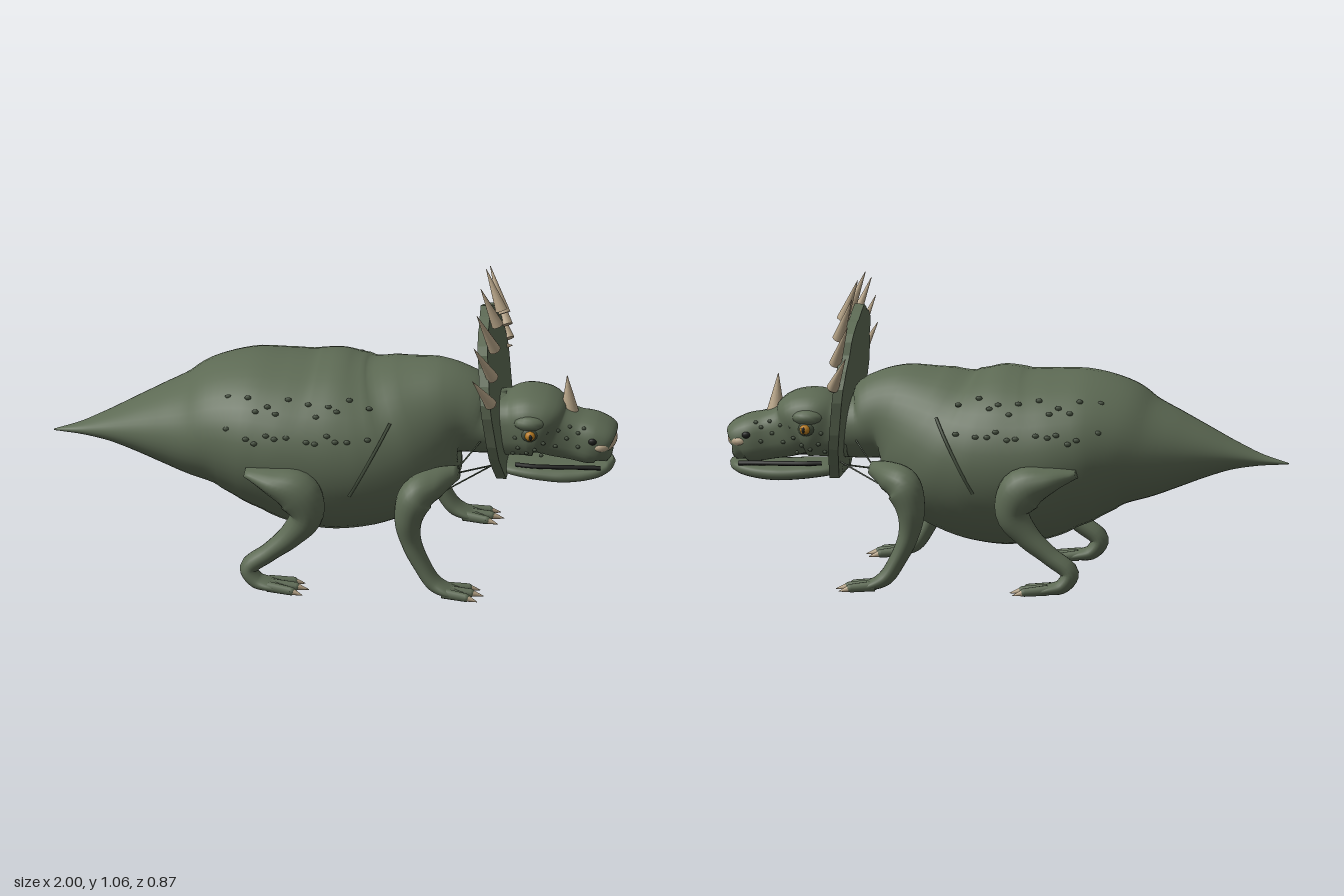
import * as THREE from 'three';

const material = (name, color) => Object.assign(new THREE.MeshStandardMaterial({ color }), { name });

export function createModel() {
  const root = new THREE.Group();
  root.name = 'hornedReptile';
  const skin = material('mossSkin', 0x5d6a54);
  const scale = material('darkScale', 0x434e3d);
  const horn = material('hornTan', 0xb9a689);
  const amber = material('amberEye', 0xb67a20);
  const dark = material('nearBlack', 0x1b1d1a);
  const V = (x, y, z) => new THREE.Vector3(x, y, z);

  const add = (name, geometry, mat, parent = root) => {
    const mesh = new THREE.Mesh(geometry, mat);
    mesh.name = name;
    parent.add(mesh);
    return mesh;
  };

  // Smooth skin over stations [x, y, z, radius in side plane, radius in z]
  function loft(stations, steps, sides, power = 1) {
    const path = new THREE.CatmullRomCurve3(stations.map(s => V(s[0], s[1], s[2])));
    const radii = new THREE.CatmullRomCurve3(stations.map(s => V(s[3], s[4], 0)));
    const pos = [], idx = [];
    const bend = v => Math.sign(v) * Math.abs(v) ** power;
    for (let i = 0; i <= steps; i++) {
      const p = path.getPoint(i / steps), r = radii.getPoint(i / steps), t = path.getTangent(i / steps);
      const l = Math.hypot(t.x, t.y) || 1;
      const rx = Math.max(r.x, 0.0005), rz = Math.max(r.y, 0.0005);
      for (let j = 0; j < sides; j++) {
        const a = j / sides * Math.PI * 2, c = bend(Math.cos(a)) * rx;
        pos.push(p.x - t.y / l * c, p.y + t.x / l * c, p.z + bend(Math.sin(a)) * rz);
        if (i < steps) {
          const k = (j + 1) % sides, A = i * sides + j, B = i * sides + k;
          idx.push(A, B, A + sides, B, B + sides, A + sides);
        }
      }
    }
    // End caps
    for (const [ring, flip] of [[0, false], [steps, true]]) {
      const o = ring * sides;
      for (let j = 1; j < sides - 1; j++) idx.push(o, o + (flip ? j : j + 1), o + (flip ? j + 1 : j));
    }
    const g = new THREE.BufferGeometry();
    g.setAttribute('position', new THREE.Float32BufferAttribute(pos, 3));
    g.setIndex(idx);
    g.computeVertexNormals();
    return g;
  }
  // Profiles are [x, top, bottom, half width]
  const toStations = rows => rows.map(([x, t, b, w]) => [x, (t + b) / 2, 0, (t - b) / 2, w]);
  // Half width of a profile's skin at a given x, y
  function sideZ(rows, x, y, power = 1) {
    let i = 0;
    while (i < rows.length - 2 && rows[i + 1][0] < x) i++;
    const f = (x - rows[i][0]) / (rows[i + 1][0] - rows[i][0]);
    const [t, b, w] = [1, 2, 3].map(k => rows[i][k] + (rows[i + 1][k] - rows[i][k]) * f);
    const u = Math.min(1, Math.abs((y - (t + b) / 2) / ((t - b) / 2)));
    return w * (1 - u ** (2 / power)) ** (power / 2);
  }
  const spike = (name, a, b, r, mat, parent = root, tip = 0.001, sides = 12) => {
    const d = b.clone().sub(a);
    const m = add(name, new THREE.CylinderGeometry(tip, r, d.length(), sides), mat, parent);
    m.position.copy(a).addScaledVector(d, 0.5);
    m.quaternion.setFromUnitVectors(V(0, 1, 0), d.normalize());
    return m;
  };
  const blob = (name, p, rx, ry, rz, mat, parent = root, seg = 16) => {
    const m = add(name, new THREE.SphereGeometry(1, seg, Math.max(6, seg / 2)), mat, parent);
    m.position.copy(p);
    m.scale.set(rx, ry, rz);
    return m;
  };
  const tube = (name, pts, r, mat) =>
    add(name, new THREE.TubeGeometry(new THREE.CatmullRomCurve3(pts), 20, r, 6), mat);

  // Body, tail and neck
  const body = [
    [-1, .433, .428, .002], [-.9, .463, .422, .038], [-.8, .508, .405, .085], [-.7, .56, .372, .135],
    [-.6, .612, .333, .185], [-.5, .662, .295, .235], [-.4, .722, .257, .282], [-.3, .753, .222, .322],
    [-.2, .755, .186, .342], [-.1, .757, .142, .348], [0, .76, .123, .347], [.1, .755, .137, .338],
    [.2, .758, .182, .312], [.3, .766, .262, .262], [.4, .758, .345, .19], [.46, .72, .39, .152],
    [.52, .655, .415, .135], [.6, .64, .42, .125]];
  add('body', loft(toStations(body), 80, 40), skin);

  // Head and lower jaw
  const head = [
    [.56, .635, .42, .12], [.63, .64, .42, .13], [.69, .66, .42, .148], [.735, .652, .42, .143],
    [.785, .605, .415, .105], [.85, .578, .405, .097], [.91, .565, .395, .107], [.95, .545, .393, .102],
    [.975, .51, .4, .08], [.985, .46, .45, .01]];
  add('head', loft(toStations(head), 48, 32, 0.75), skin);
  const jaw = [
    [.58, .4, .37, .09], [.64, .405, .355, .118], [.72, .403, .343, .13], [.8, .398, .336, .13],
    [.88, .398, .34, .118], [.94, .403, .352, .098], [.975, .408, .37, .068], [.99, .405, .39, .01]];
  add('lowerJaw', loft(toStations(jaw), 36, 28, 0.75), skin);
  blob('beak', V(.945, .478, 0), .055, .037, .11, horn, root, 28);
  spike('noseHorn', V(.832, .565, 0), V(.822, .71, 0), .034, horn, root, .001, 20);

  // Frill: a thin leaning shield
  const edge = [[0, .965], [.06, .945], [.1, .926], [.135, .922], [.2, .89], [.228, .865], [.24, .82], [.285, .77],
    [.298, .74], [.317, .71], [.316, .66], [.3, .6], [.285, .54], [.262, .485], [.2, .42], [.135, .362]];
  const outline = [...edge, ...edge.slice(1).reverse().map(([z, y]) => [-z, y])];
  const frill = new THREE.ExtrudeGeometry(new THREE.Shape(outline.map(p => new THREE.Vector2(...p))),
    { depth: .035, bevelEnabled: false });
  frill.rotateY(Math.PI / 2);
  const fp = frill.attributes.position;
  for (let i = 0; i < fp.count; i++) fp.setX(i, fp.getX(i) + .515 + (.965 - fp.getY(i)) * .115);
  frill.computeVertexNormals();
  add('frill', frill, skin);

  // Front and hind legs as [x, y, z, side-plane radius, z radius]
  const legs = {
    frontLeg: { toe: .47, rows: [[.46, .42, .23, .022, .04], [.39, .405, .3, .05, .08], [.325, .375, .355, .065, .07],
      [.295, .29, .365, .05, .058], [.305, .2, .36, .036, .045], [.345, .11, .36, .03, .042],
      [.385, .05, .362, .028, .046], [.43, .026, .366, .02, .054], [.49, .014, .367, .01, .045]] },
    hindLeg: { toe: -.15, rows: [[-.29, .43, .32, .015, .04], [-.2, .41, .345, .045, .075], [-.1, .37, .358, .08, .077],
      [-.068, .29, .36, .062, .063], [-.12, .21, .358, .044, .05], [-.2, .14, .358, .033, .043],
      [-.272, .08, .36, .032, .042], [-.245, .035, .362, .027, .046], [-.19, .022, .366, .018, .054],
      [-.13, .013, .367, .01, .045]] }
  };
  const bodyWarts = new THREE.Group(), headWarts = new THREE.Group();
  bodyWarts.name = 'bodyWarts';
  headWarts.name = 'headWarts';
  root.add(bodyWarts, headWarts);

  for (const s of [1, -1]) {
    const side = s > 0 ? 'near' : 'far';
    for (const [name, { toe, rows }] of Object.entries(legs)) {
      const leg = new THREE.Group();
      leg.name = name + '_' + side;
      root.add(leg);
      add('limb', loft(rows.map(([x, y, z, a, b]) => [x, y, z * s, a, b]), 48, 20), skin, leg);
      // Three spread toes with claws
      for (const k of [-1, 0, 1]) {
        const a = V(toe - .05, .024, s * (.366 + k * .03));
        const b = V(toe + .045 - Math.abs(k) * .012, .017, s * (.366 + k * .048));
        const d = b.clone().sub(a);
        spike('toe', a, b, .019, skin, leg, .015);
        blob('knuckle', b, .016, .015, .015, skin, leg, 12);
        spike('claw', b, b.clone().addScaledVector(d, .5).setY(.006), .014, horn, leg);
      }
    }
    // Thin cords between shoulder and frill
    spike('cord', V(.42, .37, s * .28), V(.59, .43, s * .15), .003, scale, root, .003, 6);
    spike('cord', V(.44, .42, s * .25), V(.57, .41, s * .13), .003, scale, root, .003, 6);
    spike('cord', V(.42, .4, s * .28), V(.53, .5, s * .12), .003, scale, root, .003, 6);

    // Frill spikes: base z, y then tip z, y
    for (const [z, y, tz, ty] of [[.07, .92, .095, 1.065], [.172, .868, .237, 1.02], [.25, .792, .342, .938], [.31, .715, .392, .833]])
      spike('frillSpike', V(.582, y, s * z), V(.525, ty, s * tz), .022, horn);
    spike('frillStud', V(.575, .698, s * .283), V(.6, .7, s * .287), .01, horn);

    // Face details
    blob('brow', V(.7, .575, s * .128), .055, .028, .035, skin);
    blob('eyeSocket', V(.702, .535, s * .14), .03, .026, .018, scale);
    blob('eye', V(.705, .535, s * .152), .019, .018, .018, amber);
    blob('pupil', V(.709, .535, s * .168), .006, .011, .004, dark);
    blob('nostril', V(.922, .502, s * .104), .015, .012, .008, dark);
    tube('mouthLine', [.65, .71, .78, .85, .91, .95].map((x, i) =>
      V(x, .41 - i * .002, s * (Math.max(sideZ(head, x, .44, .75), sideZ(jaw, x, .385, .75)) - .004))), .0085, dark);

    // Skin fold behind the shoulder
    tube('skinFold', [0, .25, .5, .75, 1].map(t => {
      const x = .08 + .14 * t, y = .35 + .26 * t;
      return V(x, y, s * sideZ(body, x, y));
    }), .006, scale);

    // Warts in staggered rows on the flank
    for (let i = 0; i < 8; i++)
      for (const [j, y0] of [.665, .64, .56, .545].entries()) {
        if (j % 2 && i % 3 === 0) continue;
        const x = -.36 + i * .072 + (j % 2) * .03, y = y0 + .012 * Math.sin(i * 2.4 + j);
        if (x > .17) continue;
        blob('wart', V(x, y, s * sideZ(body, x, y)), .012, .009, .006, scale, bodyWarts, 8);
      }
    // Warts on cheek and snout
    for (const [x, y] of [[.65, .52], [.66, .48], [.69, .46], [.72, .475], [.75, .5], [.76, .54], [.74, .445], [.79, .48],
      [.66, .57], [.8, .54], [.83, .51], [.84, .55], [.87, .53], [.89, .545], [.87, .48], [.79, .57], [.64, .45]])
      blob('wart', V(x, y, s * sideZ(head, x, y, .75)), .008, .007, .006, scale, headWarts, 8);
  }
  return root;
}
